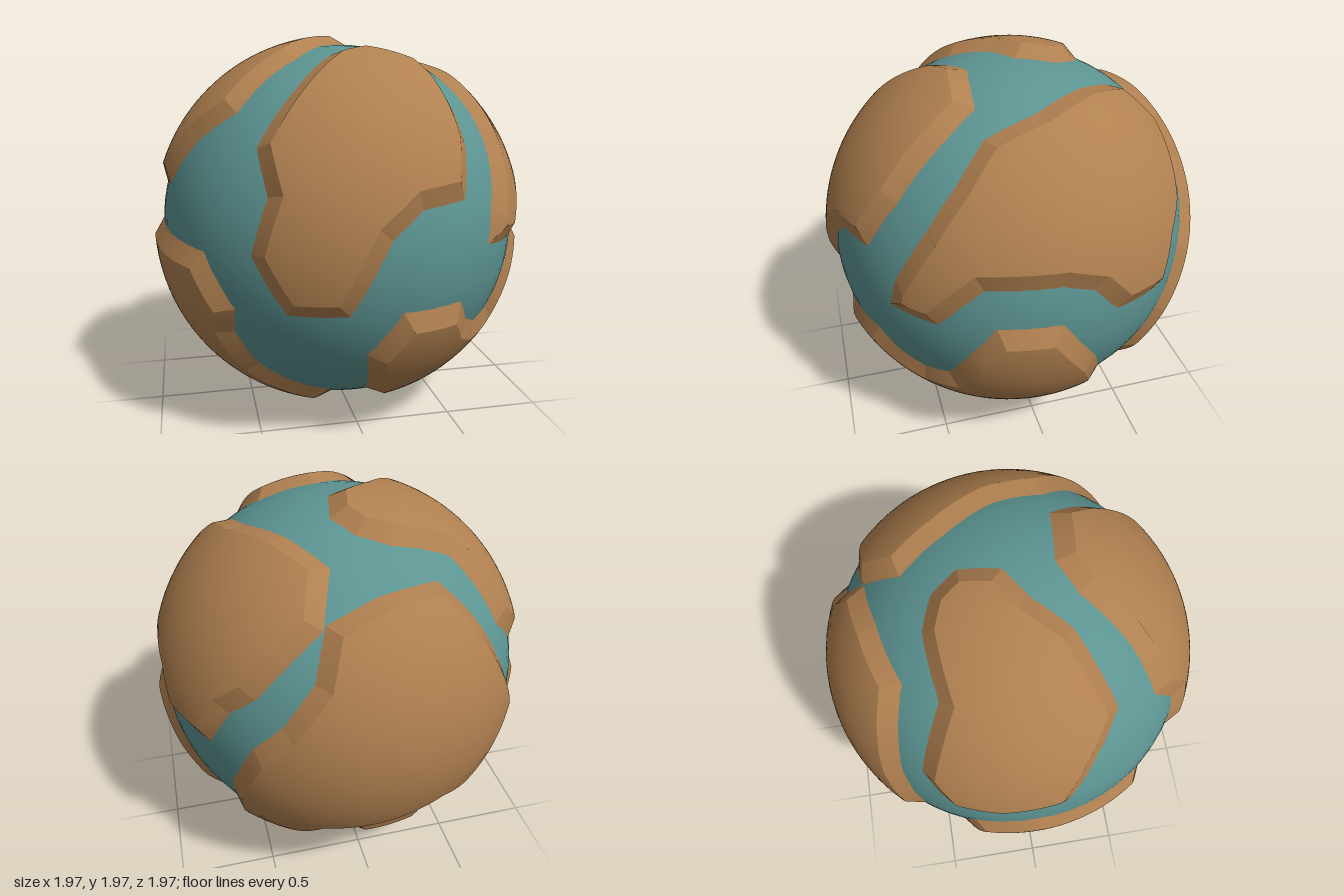
import * as THREE from 'three';

const SEA = 0.94, BASE = 0.925, TOP = 0.989; // radii of sea, buried coast and land top
const LEVELS = 4, STEPS = 2 ** LEVELS;

// Coast corners of each land mass, measured from the globe's centre
const coasts = {
  frontContinent: [
    [.06, .91, .22], [.35, .83, .25], [.42, .73, .4], [.48, .48, .65], [.43, .24, .8],
    [.2, .22, .89], [.05, .1, .93], [-.05, -.1, .93], [-.13, -.25, .9], [-.4, -.25, .81],
    [-.55, .02, .76], [-.47, .28, .76], [-.5, .48, .63], [-.3, .73, .5], [-.1, .88, .3]],
  leftUpperContinent: [
    [.23, .6, -.68], [.15, .79, -.48], [.3, .85, -.25], [.45, .82, 0], [.5, .75, .25],
    [.6, .6, .4], [.64, .4, .56], [.6, .15, .7], [.58, 0, .74], [.77, -.02, .55],
    [.82, .1, .45], [.86, .2, .35], [.92, .2, 0], [.92, .15, -.15], [.9, 0, -.28],
    [.76, -.02, -.55], [.67, .2, -.64], [.55, .3, -.7], [.4, .46, -.71]],
  leftLowerContinent: [
    [.12, -.25, .9], [.43, -.25, .8], [.5, -.38, .7], [.58, -.43, .6], [.69, -.4, .5],
    [.81, -.2, .42], [.89, 0, .3], [.94, 0, 0], [.92, -.15, -.1], [.87, -.3, -.2],
    [.74, -.5, -.28], [.53, -.75, -.2], [.38, -.85, -.08], [.2, -.9, .12], [.05, -.8, .48],
    [0, -.6, .72], [-.03, -.48, .81]],
  backContinent: [
    [-.03, .7, -.62], [.22, .62, -.67], [.3, .41, -.8], [.45, .2, -.8], [.58, .05, -.73],
    [.68, -.25, -.6], [.65, -.5, -.45], [.55, -.63, -.42], [.33, -.66, -.57], [.21, -.5, -.76],
    [.01, -.48, -.8], [-.3, -.41, -.78], [-.48, -.46, -.66], [-.66, -.21, -.63],
    [-.76, 0, -.55], [-.64, .3, -.62], [-.52, .5, -.6], [-.33, .69, -.53]],
  topContinent: [
    [-.68, .4, -.52], [-.45, .73, -.38], [-.15, .83, -.41], [0, .87, -.35], [.09, .91, -.22],
    [.05, .94, -.02], [-.1, .93, .08], [-.25, .87, .25], [-.4, .78, .33], [-.57, .62, .42],
    [-.75, .48, .3], [-.89, .25, .16], [-.9, .22, -.17], [-.81, .23, -.41]],
  rightLowerContinent: [
    [-.93, .03, .1], [-.75, 0, .56], [-.62, -.26, .65], [-.62, -.4, .58], [-.5, -.6, .52],
    [-.3, -.73, .5], [-.13, -.8, .47], [-.06, -.92, .17], [-.2, -.91, .12], [-.4, -.84, .1],
    [-.6, -.72, .03], [-.75, -.54, -.16], [-.8, -.28, -.4], [-.89, 0, -.31], [-.935, .05, .01]],
  bottomContinent: [
    [.2, -.9, -.18], [.12, -.82, -.43], [.066, -.68, -.645], [-.265, -.586, -.685],
    [-.39, -.64, -.565], [-.62, -.53, -.455], [-.62, -.67, -.2], [-.48, -.8, -.1],
    [-.25, -.9, -.02], [.03, -.93, 0]],
};

// Stereographic map of directions around a centre, used to order and fill outlines
function flatten(points, centre) {
  const turn = new THREE.Quaternion().setFromUnitVectors(centre, new THREE.Vector3(0, 0, 1));
  return points.map((p) => {
    const q = p.clone().applyQuaternion(turn);
    return new THREE.Vector2(q.x, q.y).divideScalar(1 + q.z);
  });
}

// Move every corner inward along the sphere by a fixed distance
function inset(points, distance) {
  const n = points.length;
  return points.map((p, i) => {
    const side = (a, b) => p.clone().cross(b.clone().sub(a)).normalize();
    const n1 = side(points[(i + n - 1) % n], p);
    const n2 = side(p, points[(i + 1) % n]);
    const scale = distance / Math.max(0.6, 1 + n1.dot(n2));
    return p.clone().addScaledVector(n1.add(n2), scale).normalize();
  });
}

function geometryFrom(vertices) {
  return new THREE.BufferGeometry().setFromPoints(vertices);
}

// Sloping shore between the coast and the land top
function shoreGeometry(outer, inner) {
  const out = [];
  const along = (a, b, t, r) => a.clone().lerp(b, t).setLength(r);
  outer.forEach((a, i) => {
    const j = (i + 1) % outer.length;
    for (let k = 0; k < STEPS; k++) {
      const t = k / STEPS, u = (k + 1) / STEPS;
      const a0 = along(a, outer[j], t, BASE), a1 = along(a, outer[j], u, BASE);
      const b0 = along(inner[i], inner[j], t, TOP), b1 = along(inner[i], inner[j], u, TOP);
      out.push(a0, a1, b1, a0, b1, b0);
    }
  });
  const geometry = geometryFrom(out);
  geometry.computeVertexNormals();
  return geometry;
}

// Land top: filled outline, split repeatedly and rounded onto the sphere
function plateauGeometry(inner, centre) {
  let triangles = THREE.ShapeUtils.triangulateShape(flatten(inner, centre), [])
    .map((face) => face.map((i) => inner[i]));
  const mid = (a, b) => a.clone().add(b).normalize();
  for (let level = 0; level < LEVELS; level++) {
    triangles = triangles.flatMap(([a, b, c]) => {
      const ab = mid(a, b), bc = mid(b, c), ca = mid(c, a);
      return [[a, ab, ca], [ab, b, bc], [ca, bc, c], [ab, bc, ca]];
    });
  }
  const directions = triangles.flat();
  const geometry = geometryFrom(directions.map((d) => d.clone().multiplyScalar(TOP)));
  geometry.setAttribute('normal', geometryFrom(directions).getAttribute('position'));
  return geometry;
}

function makeContinent(name, corners, material) {
  let points = corners.map((c) => new THREE.Vector3(...c).normalize());
  const centre = points.reduce((sum, p) => sum.add(p), new THREE.Vector3()).normalize();
  if (THREE.ShapeUtils.area(flatten(points, centre)) < 0) points = points.reverse();
  const inner = inset(points, 0.09), outer = inset(points, -0.03);
  const group = new THREE.Group();
  group.name = name;
  const shore = new THREE.Mesh(shoreGeometry(outer, inner), material);
  shore.name = 'shore';
  const plateau = new THREE.Mesh(plateauGeometry(inner, centre), material);
  plateau.name = 'plateau';
  group.add(shore, plateau);
  return group;
}

export function createModel() {
  const water = new THREE.MeshStandardMaterial({ name: 'teal water', color: 0x5c9492 });
  const earth = new THREE.MeshStandardMaterial({ name: 'brown earth', color: 0xb08050 });
  const model = new THREE.Group();
  model.name = 'globe';

  // Ocean ball
  const ocean = new THREE.Mesh(new THREE.SphereGeometry(SEA, 64, 40), water);
  ocean.name = 'ocean';
  model.add(ocean);

  // Raised land masses
  for (const [name, corners] of Object.entries(coasts)) {
    model.add(makeContinent(name, corners, earth));
  }
  model.children.forEach((part) => { part.position.y = 0.99; });
  return model;
}
